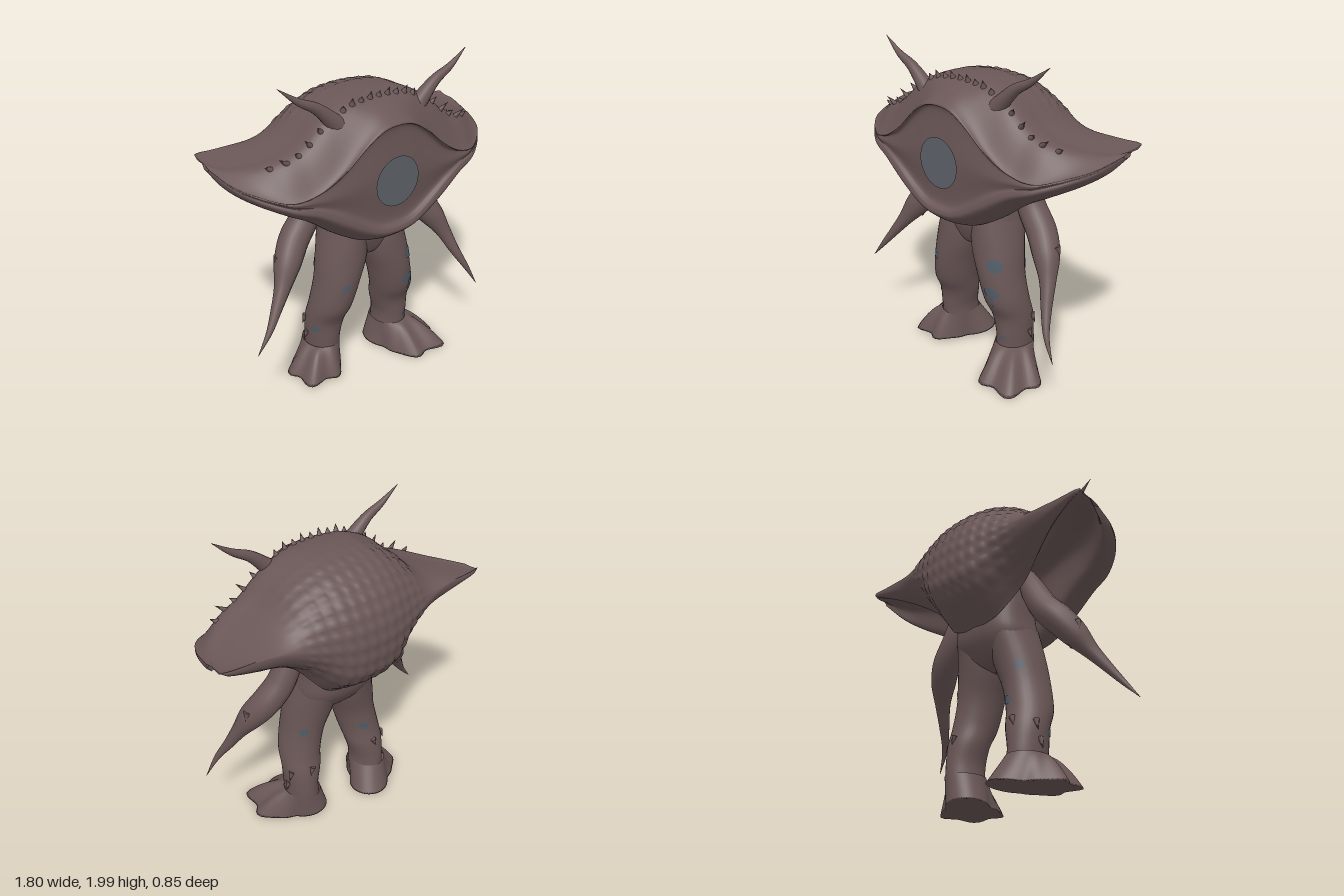
import * as THREE from 'three';
import { mergeVertices } from 'three/addons/utils/BufferGeometryUtils.js';

const V = (x, y, z) => new THREE.Vector3(x, y, z);
const TAU = Math.PI * 2;

// Smooth grid surface from fn(u, v), both 0..1; seams are welded.
function surface(fn, nu, nv) {
  const pos = [], idx = [];
  for (let i = 0; i <= nu; i++) for (let j = 0; j <= nv; j++) pos.push(...fn(i / nu, j / nv).toArray());
  for (let i = 0; i < nu; i++) for (let j = 0; j < nv; j++) {
    const a = i * (nv + 1) + j, b = a + nv + 1;
    idx.push(a, a + 1, b, b, a + 1, b + 1);
  }
  let g = new THREE.BufferGeometry();
  g.setAttribute('position', new THREE.Float32BufferAttribute(pos, 3));
  g.setIndex(idx);
  g = mergeVertices(g, 1e-5);
  g.computeVertexNormals();
  return g;
}

// Smooth interpolation of head measurements by distance from the middle.
const ST = [0, 0.1, 0.2, 0.35, 0.5, 0.65, 0.8, 0.87, 0.9];
function track(...v) {
  const m = v.map((_, i) => {
    if (i === 0) return 0;
    const k = Math.min(i + 1, v.length - 1);
    return (v[k] - v[i - 1]) / (ST[k] - ST[i - 1]);
  });
  return (x) => {
    x = Math.min(Math.abs(x), 0.9);
    let i = 0;
    while (i < ST.length - 2 && x > ST[i + 1]) i++;
    const h = ST[i + 1] - ST[i], t = (x - ST[i]) / h, t2 = t * t, t3 = t2 * t;
    return (2 * t3 - 3 * t2 + 1) * v[i] + (t3 - 2 * t2 + t) * h * m[i]
      + (3 * t2 - 2 * t3) * v[i + 1] + (t3 - t2) * h * m[i + 1];
  };
}
const chinY = track(1.0, 1.01, 1.035, 1.12, 1.23, 1.31, 1.39, 1.445, 1.505);
const lowLid = track(1.12, 1.13, 1.175, 1.265, 1.345, 1.385, 1.44, 1.475, 1.515);
const topLid = track(1.72, 1.705, 1.645, 1.52, 1.435, 1.41, 1.455, 1.485, 1.52);
const crestY = track(1.84, 1.835, 1.82, 1.75, 1.63, 1.57, 1.53, 1.525, 1.535);
const crestZ = track(0.22, 0.22, 0.22, 0.22, 0.22, 0.19, 0.06, -0.05, -0.15);
const faceZ = track(0.4, 0.4, 0.395, 0.385, 0.365, 0.325, 0.2, 0.06, -0.1);
const lipZ = track(0.2, 0.2, 0.195, 0.17, 0.16, 0.14, 0.06, -0.04, -0.15);
const backZ = track(-0.415, -0.41, -0.39, -0.345, -0.305, -0.28, -0.27, -0.265, -0.255);
const backY = track(1.42, 1.42, 1.43, 1.465, 1.51, 1.54, 1.55, 1.555, 1.555);
const napeZ = track(-0.19, -0.19, -0.175, -0.12, -0.16, -0.215, -0.25, -0.258, -0.252);
const napeY = track(1.045, 1.05, 1.09, 1.25, 1.36, 1.435, 1.497, 1.525, 1.545);
const roofY = track(1.36, 1.36, 1.38, 1.41, 1.45, 1.485, 1.505, 1.515, 1.53);

// Closed side profile of the head at x: chin, lids, eye, dome, nape, hollow underside.
function headSection(x) {
  const b = chinY(x), l = lowLid(x), u = topLid(x), c = crestY(x), zc = crestZ(x), zf = faceZ(x), zi = lipZ(x);
  const zb = backZ(x), yb = backY(x), zd = napeZ(x), d = napeY(x), h = roofY(x);
  const e = (c - b) / 0.84, open = Math.min(1, (u - l) / 0.2), k = (yb - d) / 0.37;
  const p = [
    [zi, b + 0.03 * e], [zi + (zf - zi) * 0.5, b], [zf + 0.008 * e, b + (l - b) * 0.55], [zf + 0.016 * e, l - 0.01 * e],
    [zf - 0.022 * e, l + 0.04 * e * open], [zf - 0.005 * e, (l + u) / 2], [zf - 0.022 * e, u - 0.035 * e * open],
    [zf + 0.006 * e, u + 0.006 * e], [zf - 0.042 * e, u + 0.042 * e], [zc, c]];
  for (let i = 1; i < 5; i++) {
    const a = (i / 5) * Math.PI / 2;
    p.push([zc + (zb - zc) * Math.sin(a), yb + (c - yb) * Math.cos(a) + 0.07 * Math.max(0, (c - yb) / 0.42) * Math.sin(2 * a)]);
  }
  p.push([zb, yb], [(zb + zd) / 2 - 0.075 * k, (yb + d) / 2 - 0.01 * k], [zd, d], [zd + 0.03 * e, d + 0.02 * e],
    [zd + (zi - zd) * 0.3, h], [zd + (zi - zd) * 0.8, h - 0.02 * e]);
  return new THREE.CatmullRomCurve3(p.map(([z, y]) => V(x, y, z)), true, 'catmullrom', 0.5);
}
function headGeometry() {
  const N = 20, smooth = THREE.MathUtils.smoothstep;
  let lastU = -1, curve;
  return surface((u, v) => {
    const x = 0.9 * Math.sin((u - 0.5) * Math.PI);
    if (u !== lastU) { curve = headSection(x); lastU = u; }
    const p = curve.getPoint(v % 1), k = v * N;
    // rounded scales over the dome
    const w = smooth(k, 9.8, 11) * (1 - smooth(k, 15, 16)) * (1 - smooth(Math.abs(x), 0.33, 0.5));
    const bump = 0.011 * w * Math.abs(Math.sin(x * Math.PI / 0.07) * Math.sin(k * Math.PI * 2));
    return p.add(V(x, p.y - 1.4, p.z).normalize().multiplyScalar(bump));
  }, 160, 160);
}

// Tapering round sweep along points [x, y, z, radius].
function taper(pts, nu = 24, nv = 14) {
  const path = new THREE.CatmullRomCurve3(pts.map((p) => V(p[0], p[1], p[2])));
  const rad = new THREE.CatmullRomCurve3(pts.map((p) => V(p[3], 0, 0)), false, 'catmullrom', 0.5);
  const f = path.computeFrenetFrames(nu);
  return surface((u, v) => {
    const i = Math.round(u * nu), a = v * TAU, r = Math.max(0.001, rad.getPoint(path.getUtoTmapping(u)).x);
    return path.getPointAt(u).addScaledVector(f.normals[i], r * Math.cos(a)).addScaledVector(f.binormals[i], r * Math.sin(a));
  }, nu, nv);
}

// Level rings [x, y, z, rx, rz], oval or squarer with power below 1; returns a surface function.
function rings(rows, power = 1) {
  const c = new THREE.CatmullRomCurve3(rows.map((r) => V(r[0], r[1], r[2])), false, 'catmullrom', 0.5);
  const s = new THREE.CatmullRomCurve3(rows.map((r) => V(r[3], 0, r[4])), false, 'catmullrom', 0.5);
  const bend = (n) => Math.sign(n) * Math.abs(n) ** power;
  return (u, v, grow = 0) => {
    const o = c.getPoint(u), q = s.getPoint(u), a = v * TAU;
    return V(o.x + (q.x + grow) * bend(Math.sin(a)), o.y, o.z + (q.z + grow) * bend(Math.cos(a)));
  };
}

// Long splayed foot with toe lobes, rounded on top and closed by a sole.
function footGeometry(x, y0, ankleZ, soleZ, heading, front, heel) {
  const half = 0.13;
  return surface((u, v) => {
    if (u === 1) return V(x, y0 + 0.015, soleZ);
    const a = v * TAU, phi = Math.atan2(Math.sin(a - heading), Math.cos(a - heading));
    const t = Math.min(1, u / 0.85), f = Math.max(0, Math.cos(phi * 0.9)) ** 2, fb = Math.max(0, -Math.cos(phi)) ** 2;
    const lobes = f * (1 - Math.cos(phi * 9));
    const sole = (half + (front - half) * f + (heel - half) * fb) * (1 - 0.1 * lobes * t);
    const r = THREE.MathUtils.lerp(0.112 + 0.02 * Math.cos(a) ** 2, sole, t);
    const y = y0 + 0.18 * (1 - Math.pow(t, 1 + 0.6 * f)) - 0.016 * lobes * Math.sin(t * Math.PI);
    return V(x + r * Math.sin(a), y + 0.02 * fb * t, THREE.MathUtils.lerp(ankleZ, soleZ, t) + r * Math.cos(a));
  }, 20, 72);
}

export function createModel() {
  const model = new THREE.Group();
  const mat = (name, color) => new THREE.MeshStandardMaterial({ name, color, side: THREE.DoubleSide });
  const skin = mat('skin', 0x6a5656), iris = mat('iris grey', 0x5d6067), mark = mat('blue marking', 0x505b66);
  const add = (name, geo, m = skin) => {
    const mesh = new THREE.Mesh(geo, m);
    mesh.name = name;
    model.add(mesh);
    return mesh;
  };
  const spike = (name, p, dir, len, r) => {
    const mesh = add(name, new THREE.ConeGeometry(r, len, 8).translate(0, len * 0.35, 0));
    mesh.position.copy(p);
    mesh.quaternion.setFromUnitVectors(V(0, 1, 0), dir.normalize());
  };

  // head and eye
  add('head', headGeometry());
  add('iris', new THREE.CircleGeometry(0.15, 40).translate(0, 1.39, 0.403), iris);

  // crest spikes
  for (let i = -4; i <= 4; i++) {
    const x = i * 0.06;
    spike('crestSpike', V(x, crestY(x), 0.22), V(x, 1, 0.4), i % 2 ? 0.055 : 0.04, 0.02);
  }
  for (const s of [-1, 1]) {
    for (const [x, len] of [[0.39, 0.05], [0.46, 0.075], [0.53, 0.045], [0.6, 0.08], [0.68, 0.05]])
      spike('browSpike', V(s * x, crestY(x), crestZ(x)), V(s * (x - 0.1) * 2, 0.7, 0.3), len, 0.018);
  }

  // horns
  for (const s of [-1, 1]) add('horn', taper([[s * 0.25, 1.7, 0.22, 0.06], [s * 0.32, 1.77, 0.22, 0.046],
    [s * 0.41, 1.85, 0.22, 0.032], [s * 0.52, 1.91, 0.22, 0.02], [s * 0.64, 2.0, 0.215, 0.001]]));

  // torso
  add('torso', surface(rings([[0, 1.42, 0.02, 0.2, 0.16], [0, 1.25, 0.01, 0.24, 0.17], [0, 1.08, 0.02, 0.25, 0.195],
    [0, 0.98, 0.03, 0.26, 0.195], [0, 0.9, 0.04, 0.24, 0.165], [0, 0.83, 0.05, 0.15, 0.12], [0, 0.79, 0.06, 0.01, 0.05]], 0.75), 36, 40));

  // arms ending in long points, with elbow spikes
  add('leftArm', taper([[0.26, 1.36, 0.02, 0.05], [0.31, 1.24, 0.02, 0.078], [0.38, 1.1, 0.02, 0.087], [0.47, 0.99, 0.04, 0.09],
    [0.55, 0.885, 0.09, 0.08], [0.61, 0.77, 0.145, 0.05], [0.66, 0.64, 0.21, 0.033], [0.72, 0.51, 0.275, 0.018], [0.795, 0.37, 0.305, 0.001]], 40));
  add('rightArm', taper([[-0.26, 1.36, 0.02, 0.05], [-0.31, 1.24, 0.02, 0.078], [-0.39, 1.1, 0.02, 0.087], [-0.47, 1.01, 0.04, 0.09],
    [-0.55, 0.9, 0.09, 0.08], [-0.62, 0.79, 0.14, 0.05], [-0.69, 0.69, 0.18, 0.033], [-0.77, 0.58, 0.22, 0.018], [-0.86, 0.47, 0.24, 0.001]], 40));
  for (const s of [-1, 1]) {
    spike('elbowSpike', V(s * 0.6, 0.94, 0.06), V(s * 0.3, -1, -0.1), 0.08, 0.025);
    spike('elbowSpike', V(s * 0.52, 0.85, 0.07), V(s * 0.3, -1, 0.1), 0.06, 0.02);
  }

  // legs, feet, calf spikes and markings
  for (const s of [-1, 1]) {
    const side = s > 0 ? 'left' : 'right', back = s > 0 ? 0 : 0.035;
    const leg = rings([[0.125, 1.04, 0.035, 0.125, 0.195], [0.15, 0.84, 0.067, 0.153, 0.172], [0.195, 0.66, 0.085, 0.138, 0.155],
      [0.23, 0.5, 0.073, 0.133, 0.145], [0.247, 0.38, 0.035, 0.125, 0.13], [0.26, 0.26, 0.025, 0.107, 0.13],
      [0.257, 0.15, 0.02, 0.105, 0.13]].map(([x, y, z, a, b]) => [s * x, y, z - back * (1 - y), a, b]));
    add(side + 'Leg', surface(leg, 36, 32));
    add(side + 'Foot', s > 0 ? footGeometry(0.255, 0.01, 0.02, 0.045, 0.68, 0.385, 0.18)
      : footGeometry(-0.265, 0.028, -0.01, -0.05, -0.72, 0.33, 0.205));
    for (const [u, v] of [[0.66, 0.32], [0.8, 0.27], [0.62, 0.5]])
      spike(side + 'CalfSpike', leg(u, s * v), V(s * 0.35, -1, -0.1), 0.07, 0.02);
    const spots = s > 0 ? [[0.24, 0.1, 0.04, 0.05], [0.41, 0.04, 0.035, 0.06], [0.47, 0.03, 0.05, 0.015], [0.84, 0.03, 0.025, 0.03], [0.3, 0.4, 0.03, 0.03]]
      : [[0.32, 0.04, 0.025, 0.03], [0.72, 0.17, 0.035, 0.04], [0.45, 0.55, 0.03, 0.04], [0.25, 0.4, 0.03, 0.03]];
    for (const [u, v, du, dv] of spots) add(side + 'LegMarking', surface((r, a) =>
      leg(u + du * r * Math.sin(a * TAU), s * (v + dv * r * Math.cos(a * TAU)), 0.004), 4, 14), mark);
  }
  return model;
}
